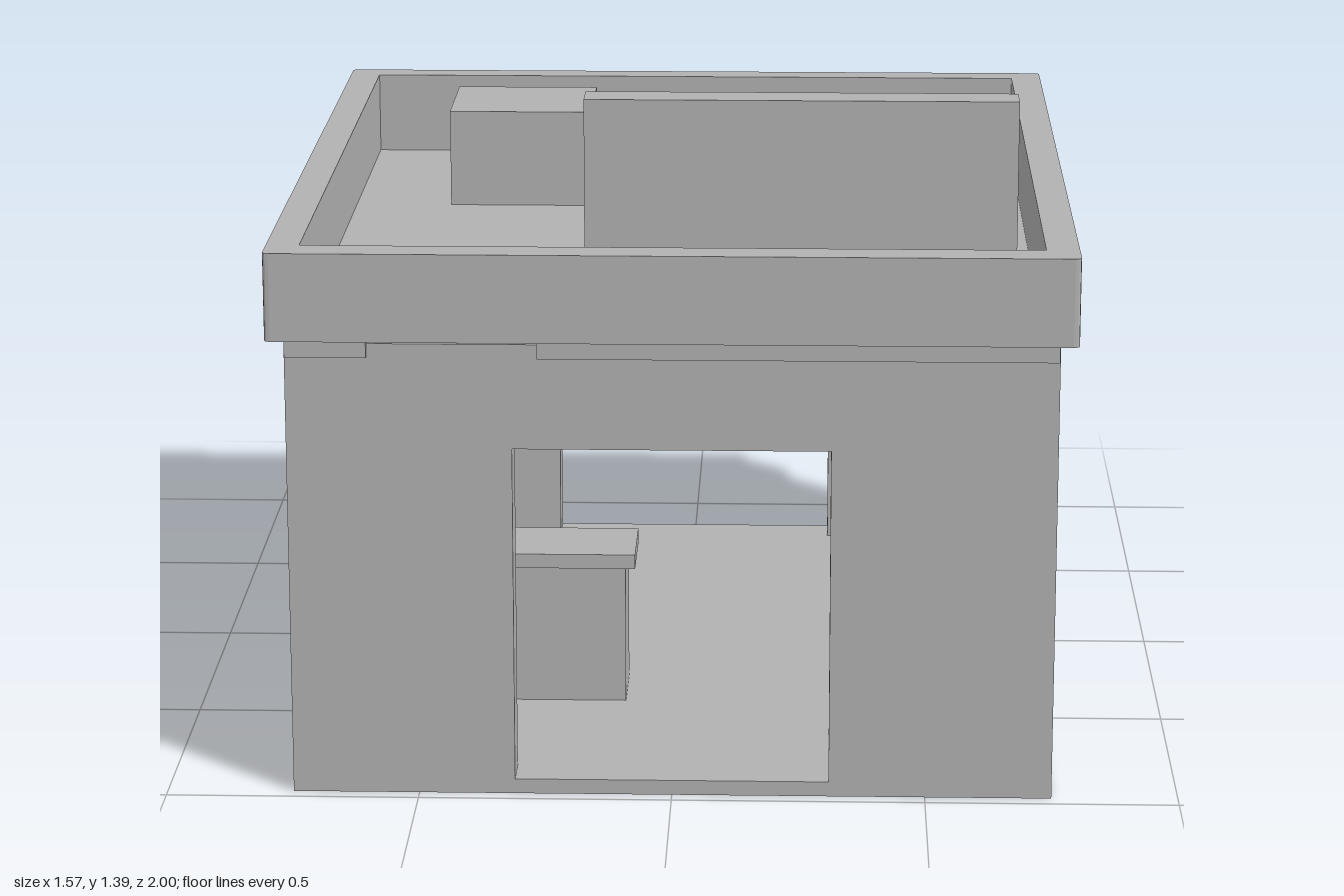
import * as THREE from 'three';

export function createModel() {
  const model = new THREE.Group();
  model.name = 'shopBuilding';
  const plaster = new THREE.MeshStandardMaterial({ color: 0xb2b2b2 });
  plaster.name = 'greyPlaster';

  const add = (name, geometry) => {
    const mesh = new THREE.Mesh(geometry, plaster);
    mesh.name = name;
    model.add(mesh);
    return mesh;
  };

  // Box given by its limits on each axis
  const box = (name, x0, x1, y0, y1, z0, z1) => {
    const g = new THREE.BoxGeometry(x1 - x0, y1 - y0, z1 - z0);
    g.translate((x0 + x1) / 2, (y0 + y1) / 2, (z0 + z1) / 2);
    return add(name, g);
  };

  const rectPoints = (x0, x1, y0, y1) => [[x0, y0], [x1, y0], [x1, y1], [x0, y1]].map(p => new THREE.Vector2(...p));

  // Upright panel with a rectangular opening, extruded along +z
  const panel = (outer, opening, depth) => {
    const s = new THREE.Shape(rectPoints(...outer));
    s.holes.push(new THREE.Path(rectPoints(...opening)));
    return new THREE.ExtrudeGeometry(s, { depth, bevelEnabled: false });
  };

  const T = 0.08, W = 0.75, BACK = -0.735, FRONT = 0.97, TOP = 0.92, FLOOR = 0.03;

  // Walls: front and back have doorways, one side has a wide opening
  for (const [name, z] of [['frontWall', FRONT - T], ['backWall', BACK]]) {
    add(name, panel([-W, W, 0, TOP], [-0.31, 0.31, FLOOR, 0.71], T).translate(0, 0, z));
  }
  const side = panel([-FRONT + T, -BACK - T, 0, TOP], [-0.47, 0.235, FLOOR, 0.71], T);
  add('rightWall', side.rotateY(Math.PI / 2).translate(W - T, 0, 0));
  box('leftWall', -W, -W + T, 0, TOP, BACK + T, FRONT - T);
  box('floor', -W + T, W - T, 0, FLOOR, BACK + T, FRONT - T);

  // Counter and side cabinet inside
  box('counterBody', -0.56, -0.11, FLOOR, 0.32, 0.335, 0.5);
  box('counterTop', -0.58, -0.09, 0.32, 0.35, 0.325, 0.51);
  box('sideCabinet', -W + T, -0.55, FLOOR, 0.32, 0.51, 0.69);

  // Roof deck, leaving a hatch near the front
  box('roofDeck', -0.775, 0.775, 0.895, 0.93, -0.745, 0.61);
  box('roofDeckFrontLeft', -0.748, -0.59, 0.895, 0.93, 0.61, 0.985);
  box('roofDeckFrontRight', -0.26, 0.748, 0.895, 0.93, 0.61, 0.985);

  // Parapet ring with slightly rounded corners
  const x = 0.785, n = -1.0, f = 0.77, r = 0.012;
  const ring = new THREE.Shape();
  ring.moveTo(-x + r, n).lineTo(x - r, n).quadraticCurveTo(x, n, x, n + r);
  ring.lineTo(x, f - r).quadraticCurveTo(x, f, x - r, f);
  ring.lineTo(-x + r, f).quadraticCurveTo(-x, f, -x, f - r);
  ring.lineTo(-x, n + r).quadraticCurveTo(-x, n, -x + r, n);
  ring.holes.push(new THREE.Path(rectPoints(-0.72, 0.72, -0.93, 0.71)));
  const parapet = new THREE.ExtrudeGeometry(ring, { depth: 0.175, bevelEnabled: false, curveSegments: 3 });
  add('parapet', parapet.rotateX(-Math.PI / 2).translate(0, 0.93, 0));

  // Rooftop fittings and rear awning
  box('signBoard', -0.17, 0.665, 0.93, 1.39, 0.828, 0.905);
  box('rooftopUnit', -0.515, -0.21, 0.93, 1.137, -0.43, -0.165);
  box('awning', -0.555, 0.555, 0.715, 0.755, -1, -0.765);

  return model;
}
